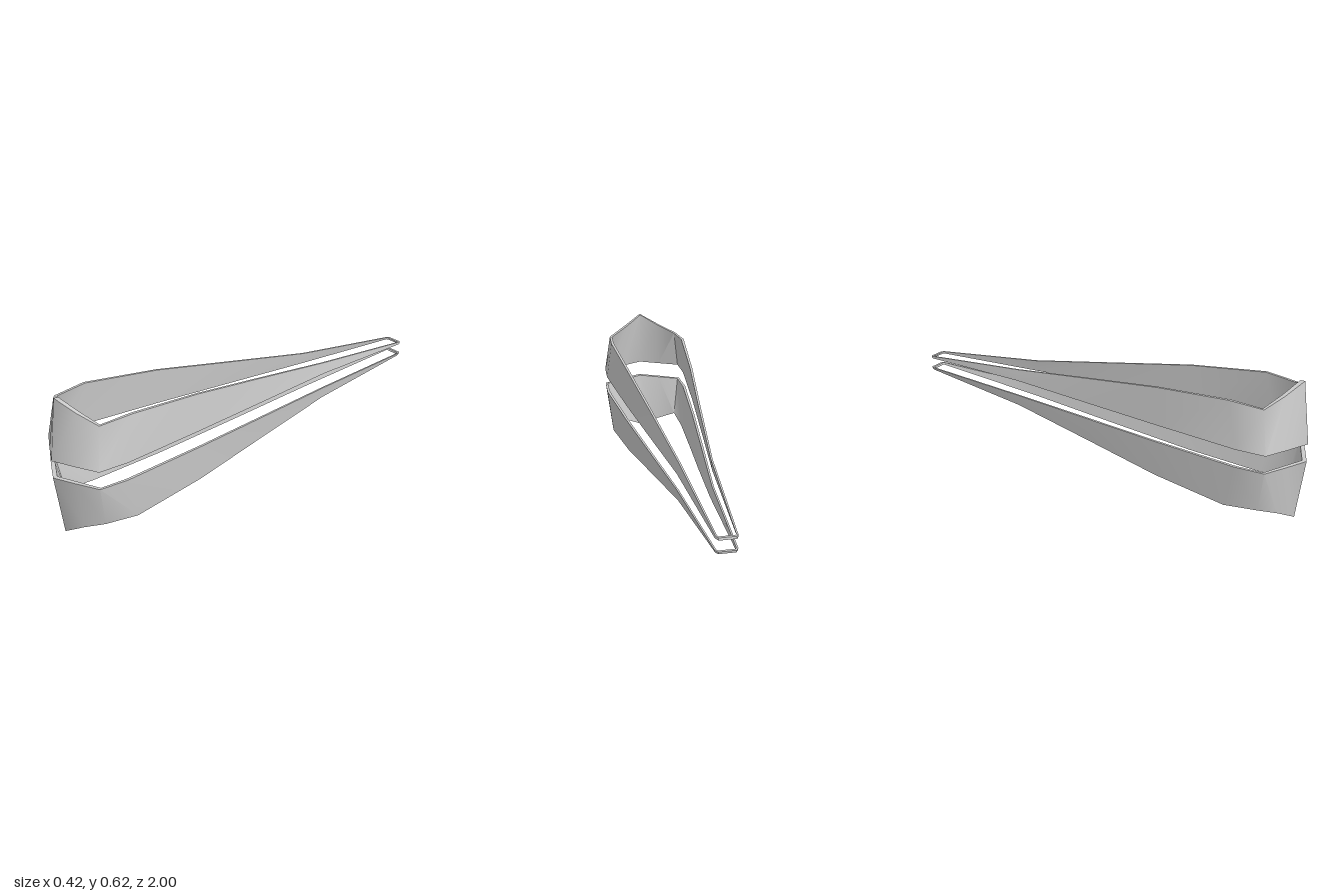
import * as THREE from 'three';
import { toCreasedNormals } from 'three/addons/utils/BufferGeometryUtils.js';

const MID_Y = 0.3125; // height of the gap between the two bands

// Half of the loop, from the pointed front along the left side to the back:
// [lower x, lower z, upper x, upper z, lower y, upper y, inward dx, inward dz]
const STATIONS = [
  [0, 1, 0, 0.965, 0.352, 0.625, 0, -0.02],
  [0.1, 0.952, 0.088, 0.92, 0.352, 0.579, -0.006, -0.017],
  [0.2, 0.9, 0.175, 0.87, 0.352, 0.54, -0.01, -0.01],
  [0.208, 0.77, 0.188, 0.72, 0.352, 0.552, -0.013, 0],
  [0.171, 0.37, 0.158, 0.37, 0.352, 0.52, -0.011, 0],
  [0.13, 0, 0.118, 0, 0.351, 0.466, -0.01, 0],
  [0.081, -0.43, 0.074, -0.43, 0.35, 0.403, -0.008, 0],
  [0.046, -0.982, 0.044, -0.982, 0.338, 0.348, -0.007, 0.002],
  [0.036, -1, 0.035, -0.998, 0.337, 0.347, -0.002, 0.012],
];

// Four corners of the wall at a station: outer low, outer high, inner high, inner low
function section([bx, bz, tx, tz, by, ty, dx, dz], side) {
  return [
    [bx * side, by, bz],
    [tx * side, ty, tz],
    [(tx + dx) * side, ty, tz + dz],
    [(bx + dx) * side, by, bz + dz],
  ];
}

// Closed band; flip = -1 mirrors it below the gap
function bandGeometry(flip) {
  const rings = [
    ...STATIONS.map((s) => section(s, 1)),
    ...STATIONS.slice(1).reverse().map((s) => section(s, -1)),
  ];
  const positions = [];
  for (const ring of rings) {
    for (const [x, y, z] of ring) positions.push(x, MID_Y + (y - MID_Y) * flip, z);
  }
  const index = [];
  const n = rings.length;
  for (let i = 0; i < n; i++) {
    for (let j = 0; j < 4; j++) {
      const i2 = (i + 1) % n, j2 = (j + 1) % 4;
      const a = i * 4 + j, b = i2 * 4 + j, c = i2 * 4 + j2, d = i * 4 + j2;
      if (flip > 0) index.push(a, b, c, a, c, d);
      else index.push(a, c, b, a, d, c);
    }
  }
  const geometry = new THREE.BufferGeometry();
  geometry.setAttribute('position', new THREE.Float32BufferAttribute(positions, 3));
  geometry.setIndex(index);
  return toCreasedNormals(geometry, 1.0);
}

export function createModel() {
  const model = new THREE.Group();
  model.name = 'pairedBands';
  const material = new THREE.MeshStandardMaterial({ color: 0xcccccc });
  for (const [name, flip] of [['upperBand', 1], ['lowerBand', -1]]) {
    const mesh = new THREE.Mesh(bandGeometry(flip), material);
    mesh.name = name;
    model.add(mesh);
  }
  return model;
}
